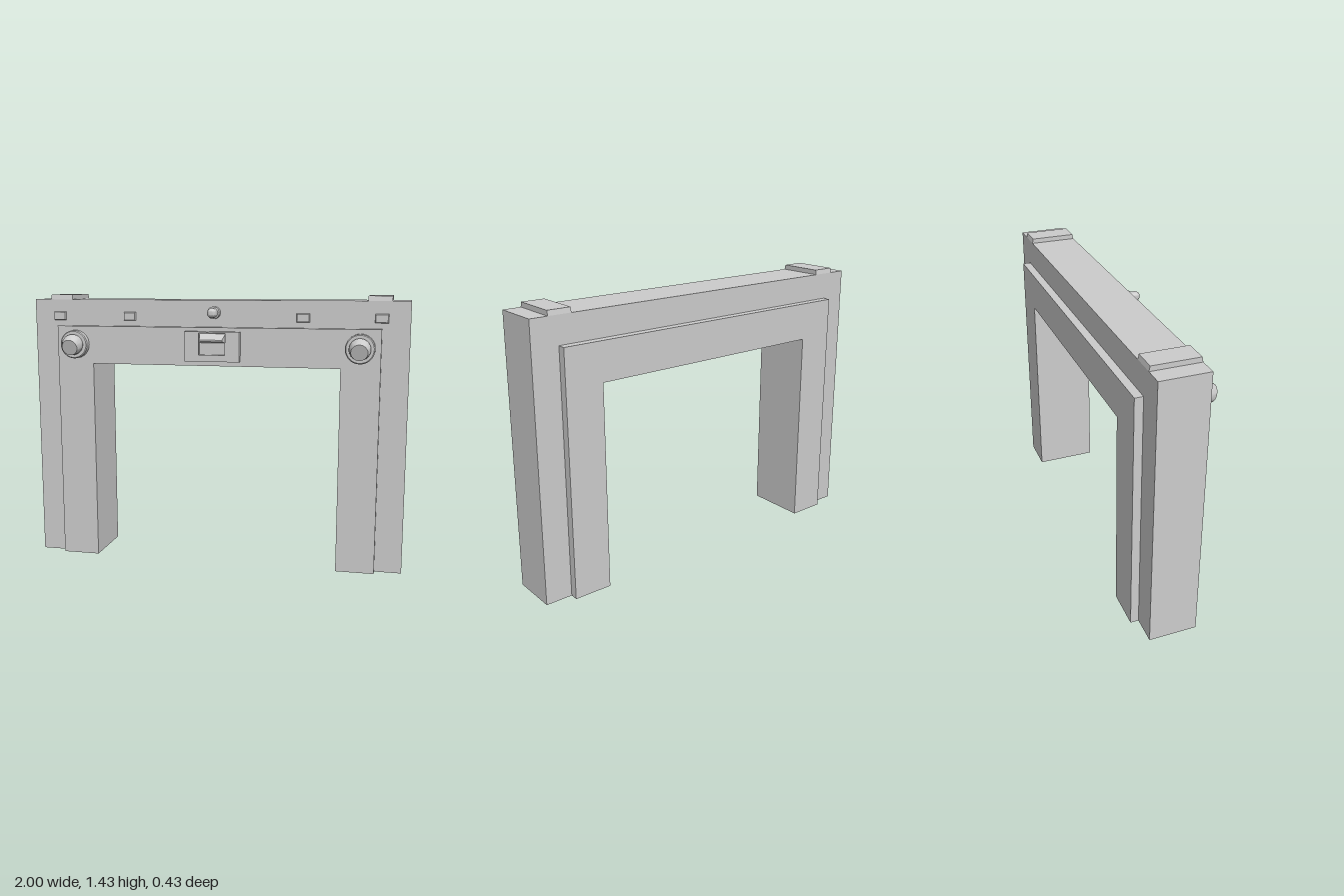
import * as THREE from 'three';
import { toCreasedNormals } from 'three/addons/utils/BufferGeometryUtils.js';

const material = new THREE.MeshStandardMaterial({ color: 0xcccccc });

function add(parent, name, geometry, x = 0, y = 0, z = 0) {
  const mesh = new THREE.Mesh(geometry, material);
  mesh.name = name;
  mesh.position.set(x, y, z);
  parent.add(mesh);
  return mesh;
}

// Arch outline with a fixed opening, extruded from z0 to z1
function arch(halfWidth, height, z0, z1) {
  const w = halfWidth, ix = 0.66, iy = 1.07;
  const shape = new THREE.Shape([
    [-w, 0], [-ix, 0], [-ix, iy], [ix, iy], [ix, 0], [w, 0], [w, height], [-w, height],
  ].map(([x, y]) => new THREE.Vector2(x, y)));
  return new THREE.ExtrudeGeometry(shape, { depth: z1 - z0, bevelEnabled: false }).translate(0, 0, z0);
}

// Box whose vertices are moved by a rule
function shapedBox(w, h, d, rule) {
  const g = new THREE.BoxGeometry(w, h, d).toNonIndexed();
  const p = g.attributes.position, v = new THREE.Vector3();
  for (let i = 0; i < p.count; i++) {
    rule(v.fromBufferAttribute(p, i));
    p.setXYZ(i, v.x, v.y, v.z);
  }
  g.computeVertexNormals();
  return g;
}

// Turned part pointing along +z
function turned(points, segments = 32) {
  const profile = points.map(([r, z]) => new THREE.Vector2(r, z));
  const g = new THREE.LatheGeometry(profile, segments).rotateX(Math.PI / 2);
  return toCreasedNormals(g, 0.6);
}

// Profile points on a circle around (0, cz), angles measured from the -z pole
function arc(radius, cz, from, to, steps = 10) {
  return Array.from({ length: steps + 1 }, (_, i) => {
    const a = from + (to - from) * i / steps;
    return [Math.max(0, radius * Math.sin(a)), cz - radius * Math.cos(a)];
  });
}

export function createModel() {
  const model = new THREE.Group();
  model.name = 'archway';

  // Frame with raised trim on both faces
  add(model, 'frame', arch(1, 1.41, -0.175, 0.07));
  add(model, 'frontTrim', arch(0.86, 1.27, 0.07, 0.11));
  add(model, 'backTrim', arch(0.86, 1.27, -0.217, -0.175));

  for (const s of [-1, 1]) {
    // Bevelled cap on the top edge
    add(model, 'topCap', shapedBox(0.12, 0.025, 0.245, v => {
      if (v.y > 0) v.z *= 0.96;
    }), s * 0.848, 1.4225, -0.0525);

    // Small marker plates
    for (const x of [0.463, 0.858]) {
      add(model, 'markerPlate', shapedBox(0.068, 0.045, 0.013, v => {
        if (v.z > 0) { v.x *= 0.88; v.y *= 0.85; }
      }), s * x, 1.322, 0.0765);
    }

    // Swivelling spotlight: round base and ball head tilted down
    const spotlight = new THREE.Group();
    spotlight.name = 'spotlight';
    spotlight.position.set(s * 0.757, 1.173, 0.11);
    model.add(spotlight);
    add(spotlight, 'spotlightBase', turned([
      [0, 0], [0.075, 0], [0.075, 0.031], [0.07, 0.036], [0, 0.036],
    ]));
    const head = add(spotlight, 'spotlightHead', turned([
      ...arc(0.055, 0, 0, Math.PI * 0.58), [0.042, 0.044], [0, 0.044],
    ]), 0, 0, 0.052);
    head.rotation.x = 0.3;
  }

  // Small signal lamp above the trim
  add(model, 'signalLamp', turned([
    [0, 0], [0.032, 0], [0.032, 0.034], [0.025, 0.036],
    ...arc(0.025, 0.065, Math.PI / 2, Math.PI, 8),
  ]), 0, 1.345, 0.07);

  // Centre panel with a recessed slot
  const panel = new THREE.Group();
  panel.name = 'centrePanel';
  panel.position.set(0, 1.1725, 0.11);
  model.add(panel);
  const plate = new THREE.Shape([
    [-0.145, -0.0775], [0.145, -0.0775], [0.145, 0.0775], [-0.145, 0.0775],
  ].map(([x, y]) => new THREE.Vector2(x, y)));
  plate.holes.push(new THREE.Path([
    [-0.07, -0.043], [-0.07, 0.07], [0.07, 0.07], [0.07, -0.043],
  ].map(([x, y]) => new THREE.Vector2(x, y))));
  add(panel, 'panelPlate', new THREE.ExtrudeGeometry(plate, { depth: 0.033, bevelEnabled: false }));
  add(panel, 'slotBack', new THREE.BoxGeometry(0.142, 0.115, 0.012), 0, 0.0135, 0.006);

  // Sloping hood over the slot
  add(panel, 'slotHood', shapedBox(0.14, 0.052, 0.045, v => {
    if (v.z > 0) { v.x *= 0.84; v.y = v.y > 0 ? -0.008 : -0.016; }
  }), 0, 0.044, 0.03);

  return model;
}
